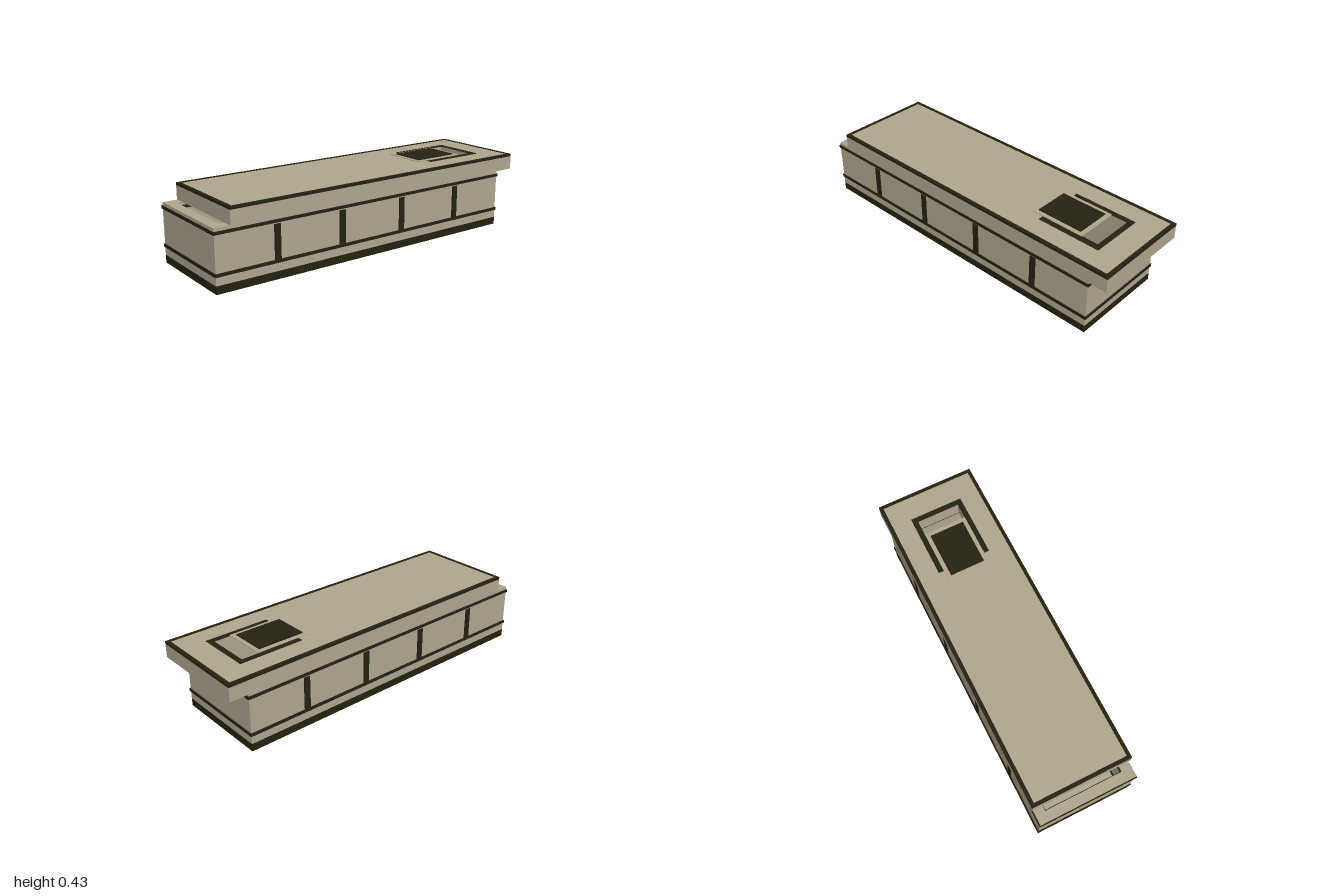
import * as THREE from 'three';

const stone = new THREE.MeshStandardMaterial({ color: 0xb0a78f });
stone.name = 'stone';
const darkTrim = new THREE.MeshStandardMaterial({ color: 0x24220f });
darkTrim.name = 'dark trim';

// Areas in plan are [x0, x1, half depth]
const BODY = [-0.995, 0.89, 0.28];
const CAVITY = [-0.94, 0.835, 0.225];
const LID = [-0.91, 1, 0.288];
const HATCH_HOLE = [0.502, 0.815, 0.125];
const grow = ([x0, x1, z], d) => [x0 - d, x1 + d, z + d];

const trace = (path, [x0, x1, z]) => {
  path.moveTo(x0, -z);
  path.lineTo(x1, -z);
  path.lineTo(x1, z);
  path.lineTo(x0, z);
  path.closePath();
  return path;
};

// Rectangular slab between two heights, with an optional rectangular opening
function slab(name, area, y0, y1, material, hole) {
  const shape = trace(new THREE.Shape(), area);
  if (hole) shape.holes.push(trace(new THREE.Path(), hole));
  const geometry = new THREE.ExtrudeGeometry(shape, { depth: y1 - y0, bevelEnabled: false });
  geometry.rotateX(-Math.PI / 2);
  geometry.translate(0, y0, 0);
  const mesh = new THREE.Mesh(geometry, material);
  mesh.name = name;
  return mesh;
}

function createChest() {
  const chest = new THREE.Group();
  chest.name = 'chest';
  chest.add(
    slab('base', BODY, 0, 0.043, darkTrim),
    slab('floor', grow(BODY, -0.01), 0.04, 0.06, stone),
    slab('walls', BODY, 0.043, 0.33, stone, CAVITY)
  );
  // Bands run around both the outside and the cavity
  for (const [name, y0, y1] of [['lowerBand', 0.088, 0.105], ['upperBand', 0.297, 0.313]]) {
    chest.add(slab(name, grow(BODY, 0.005), y0, y1, darkTrim, grow(CAVITY, -0.005)));
  }
  // Upright strips on both long sides
  for (const x of [-0.65, -0.255, 0.147, 0.545]) {
    for (const side of [1, -1]) {
      const strip = new THREE.Mesh(new THREE.BoxGeometry(0.037, 0.19, 0.008), darkTrim);
      strip.name = 'uprightStrip';
      strip.position.set(x, 0.195, side * 0.28);
      chest.add(strip);
    }
  }
  return chest;
}

function createLid() {
  const lid = new THREE.Group();
  lid.name = 'lid';
  const inner = grow(LID, -0.02);
  lid.add(
    slab('lidBody', LID, 0.33, 0.407, stone, HATCH_HOLE),
    slab('lidTop', inner, 0.407, 0.419, stone, HATCH_HOLE),
    slab('lidBorder', LID, 0.407, 0.421, darkTrim, inner),
    slab('hatchFrame', grow(HATCH_HOLE, 0.03), 0.418, 0.4215, darkTrim, HATCH_HOLE),
    // Hatch cover slid partly off its opening
    slab('hatchCover', [0.403, 0.722, 0.125], 0.4215, 0.425, stone),
    slab('hatchPanel', [0.426, 0.697, 0.101], 0.425, 0.43, darkTrim)
  );
  return lid;
}

export function createModel() {
  const model = new THREE.Group();
  model.name = 'stoneChest';
  model.add(createChest(), createLid());
  return model;
}
